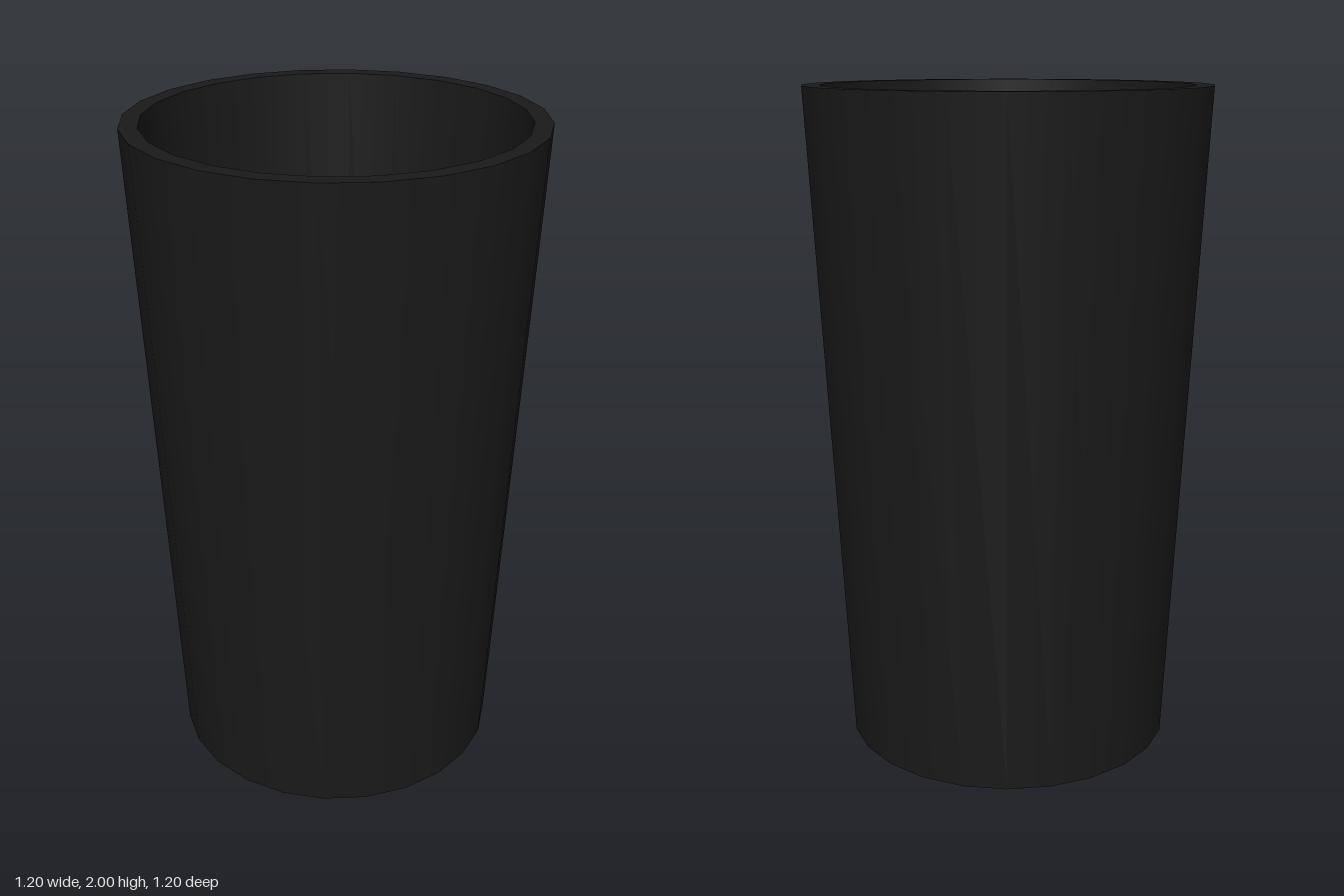
import * as THREE from 'three';

const SIDES = 24;

export function createModel() {
  const cup = new THREE.Group();
  cup.name = 'cup';
  const material = new THREE.MeshStandardMaterial({ color: 0x1a1a1a });

  // Profile runs from the underside, up the outside, over the rim and down the inside.
  const profile = [
    [0, 0], [0.5, 0], [0.6, 2], [0.547, 2], [0.455, 0.1], [0, 0.1],
  ].map(([r, y]) => new THREE.Vector2(r, y));
  const names = ['base', 'outerWall', 'rim', 'innerWall', 'floor'];

  // One lathe per profile segment keeps the edges sharp and the walls smooth.
  names.forEach((name, i) => {
    const geometry = new THREE.LatheGeometry([profile[i], profile[i + 1]], SIDES);
    const mesh = new THREE.Mesh(geometry, material);
    mesh.name = name;
    cup.add(mesh);
  });

  return cup;
}
